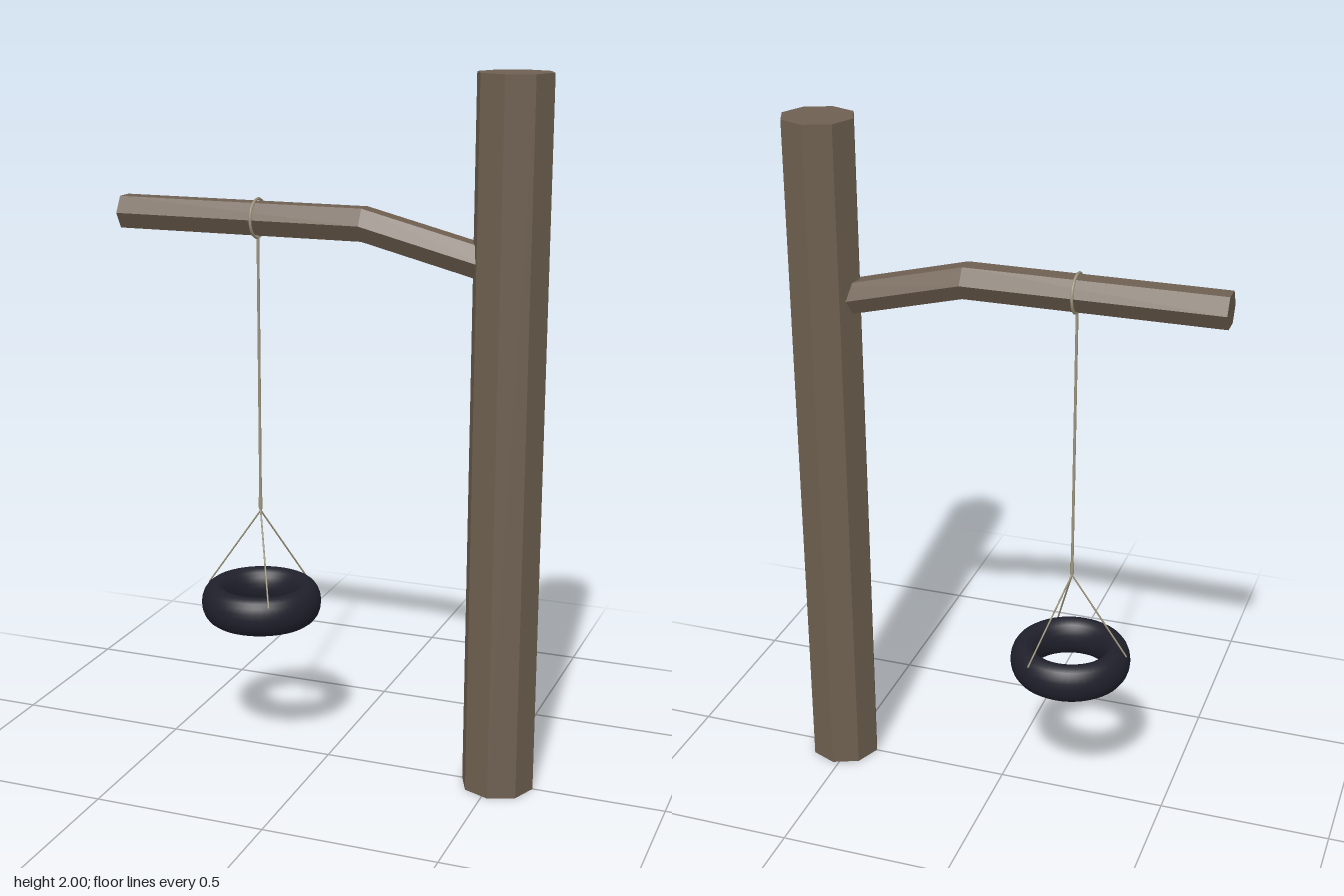
import * as THREE from 'three';

export function createModel() {
  const group = new THREE.Group();
  const material = (name, color, flatShading = false) =>
    Object.assign(new THREE.MeshStandardMaterial({ color, flatShading }), { name });
  const bark = material('bark', 0x6e5f50, true);
  const rubber = material('rubber', 0x20202c);
  const rope = material('rope', 0xa09880);

  const add = (name, geometry, mat, x = 0, y = 0, z = 0) => {
    const mesh = new THREE.Mesh(geometry, mat);
    mesh.name = name;
    mesh.position.set(x, y, z);
    group.add(mesh);
    return mesh;
  };

  // Straight rope between two points
  const addRope = (name, a, b, radius) => {
    const path = new THREE.LineCurve3(new THREE.Vector3(...a), new THREE.Vector3(...b));
    return add(name, new THREE.TubeGeometry(path, 1, radius, 6), rope);
  };

  // Octagonal trunk
  add('trunk', new THREE.CylinderGeometry(0.104, 0.104, 2, 8), bark, 0.518, 1, 0);

  // Hexagonal branch: a cylinder laid along x whose rings are moved onto a bent line
  const branch = new THREE.CylinderGeometry(0.052, 0.052, 2, 6, 2);
  branch.rotateZ(Math.PI / 2);
  const stations = [[-0.623, 1.585], [0.105, 1.585], [0.5, 1.486]];
  const p = branch.attributes.position;
  for (let i = 0; i < p.count; i++) {
    const [x, y] = stations[Math.round(p.getX(i)) + 1];
    p.setXYZ(i, x, y + p.getY(i), p.getZ(i));
  }
  branch.computeVertexNormals();
  add('branch', branch, bark);

  // Rope tied round the branch, hanging down to a knot
  const sx = -0.21;
  const loop = add('branchLoop', new THREE.TorusGeometry(0.054, 0.004, 6, 24), rope, sx, 1.585, 0);
  loop.rotation.y = Math.PI / 2;
  addRope('hangingRope', [sx, 1.545, 0], [sx, 0.735, 0], 0.004);
  add('knot', new THREE.CylinderGeometry(0.006, 0.006, 0.035, 8), rope, sx, 0.757, 0);

  // Three thin ropes spreading to the tyre
  for (let i = 0; i < 3; i++) {
    const a = Math.PI / 3 + (i * Math.PI * 2) / 3;
    addRope('tyreRope' + (i + 1), [sx, 0.735, 0],
      [sx + 0.168 * Math.cos(a), 0.495, 0.168 * Math.sin(a)], 0.0025);
  }

  // Tyre: a torus stretched upwards
  const tyre = new THREE.TorusGeometry(0.135, 0.04, 20, 48);
  tyre.rotateX(Math.PI / 2);
  tyre.scale(1, 1.44, 1);
  add('tyre', tyre, rubber, sx, 0.4575, 0);

  return group;
}
